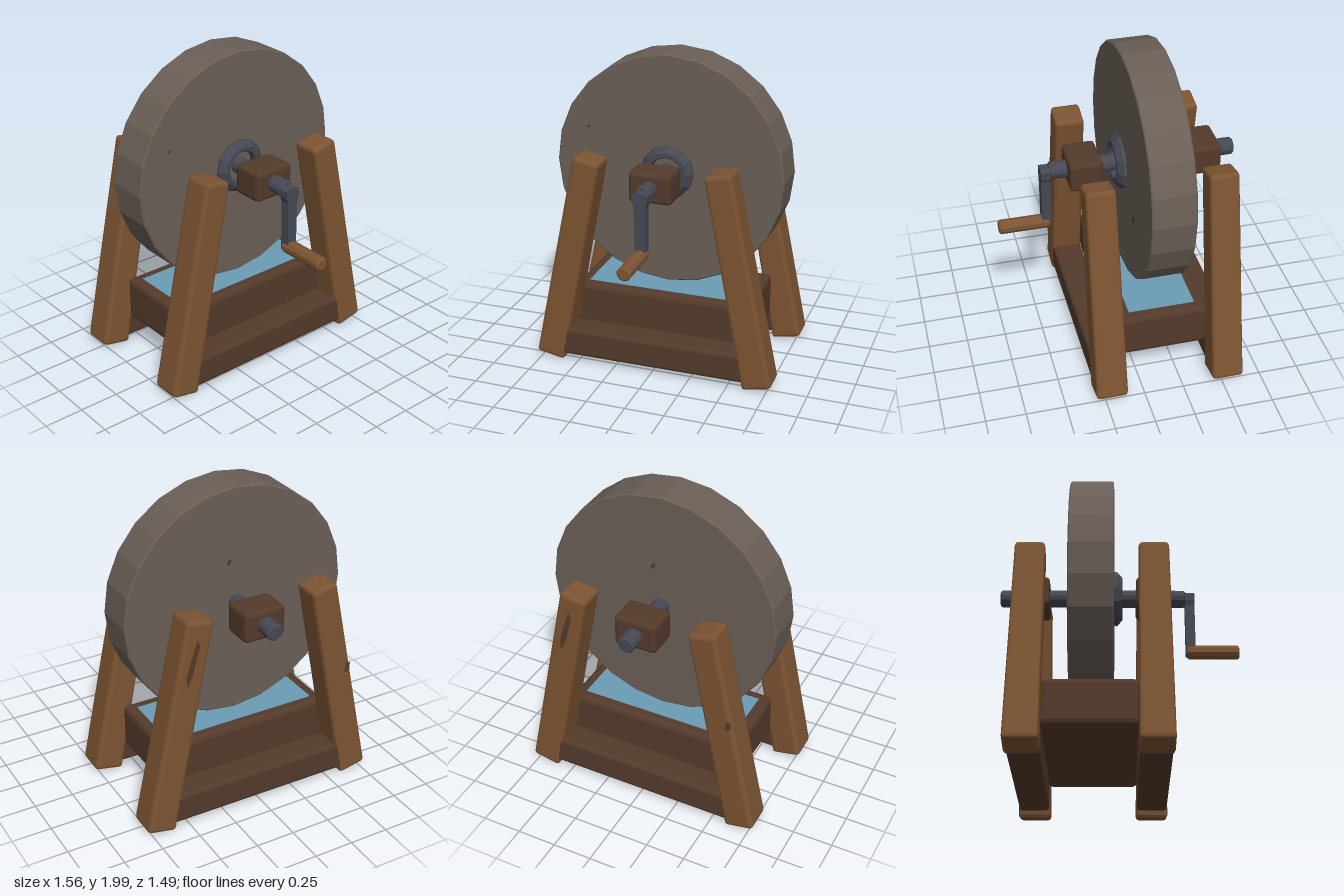
import * as THREE from 'three';
import { RoundedBoxGeometry } from 'three/addons/geometries/RoundedBoxGeometry.js';

const material = (name, color) => {
  const m = new THREE.MeshStandardMaterial({ color });
  m.name = name;
  return m;
};

// Facet a geometry so every face keeps its own normal
function faceted(geometry) {
  const g = geometry.index ? geometry.toNonIndexed() : geometry;
  g.computeVertexNormals();
  return g;
}

export function createModel() {
  const lightWood = material('light wood', 0x7c5432);
  const darkWood = material('dark wood', 0x543a2b);
  const stone = material('stone', 0x6a5f57);
  const iron = material('iron', 0x464853);
  const water = material('water', 0x6b9cb4);

  const model = new THREE.Group();
  model.name = 'grindstone';

  function add(name, geometry, mat, x = 0, y = 0, z = 0) {
    const mesh = new THREE.Mesh(geometry, mat);
    mesh.name = name;
    mesh.position.set(x, y, z);
    model.add(mesh);
    return mesh;
  }
  // Chamfered wooden block
  const block = (w, h, d, r = 0.02) => faceted(new RoundedBoxGeometry(w, h, d, 1, r));

  // Turned part along z from [radius, z] points, with a corner at the top
  function turned(points, sides) {
    const g = new THREE.LatheGeometry(points.map(([r, z]) => new THREE.Vector2(r, z)), sides);
    return faceted(g.rotateX(Math.PI / 2));
  }
  // Solid rod along z with a small chamfer at both ends
  const rod = (r, z0, z1, sides, c = 0.01) =>
    turned([[0, z0], [r - c, z0], [r, z0 + c], [r, z1 - c], [r - c, z1], [0, z1]], sides);

  const axleY = 1.26;
  const frames = [['front', 0.21], ['back', -0.535]];

  // Grinding wheel, axle and hub ring
  add('wheel', rod(0.74, -0.3, -0.03, 24, 0.008), stone, 0, axleY);
  add('axle', rod(0.054, -0.745, 0.42, 12), iron, 0, axleY);
  add('hubRing', turned(
    [[0.1, -0.035], [0.17, -0.035], [0.172, -0.012], [0.135, 0.022], [0.108, 0.022], [0.1, 0.01], [0.1, -0.035]],
    12), iron, 0, axleY);

  // Two A-frames with slanted, slightly tapered legs
  const foot = new THREE.Vector2(0.69, 0.026);
  const head = new THREE.Vector2(0.415, 1.385);
  const length = foot.distanceTo(head);
  const lean = Math.atan2(foot.x - head.x, head.y - foot.y);
  const legGeometry = block(0.19, length, 0.19, 0.022);
  const p = legGeometry.attributes.position;
  for (let i = 0; i < p.count; i++) {
    const k = 1 - 0.09 * (p.getY(i) / length + 0.5);
    p.setX(i, p.getX(i) * k);
    p.setZ(i, p.getZ(i) * (k + 0.05));
  }
  legGeometry.computeVertexNormals();

  for (const [end, z] of frames) {
    for (const side of [-1, 1]) {
      const leg = add(`${end}${side > 0 ? 'Left' : 'Right'}Leg`, legGeometry, lightWood,
        side * (foot.x + head.x) / 2, (foot.y + head.y) / 2, z);
      leg.rotation.z = side * lean;
    }
    // Low rail between the feet, and bearing block around the axle
    const rail = add(`${end}Rail`, block(1.3, 0.185, 0.188), darkWood, -0.04, 0.145, z);
    rail.rotation.z = 0.004;
    add(`${end}BearingBlock`, block(0.27, 0.19, 0.205, 0.022), darkWood, 0, axleY, z);
  }

  // Water trough
  add('trough', block(1.16, 0.28, 0.56, 0.03), darkWood, 0, 0.338, -0.165);
  add('waterSurface', new THREE.BoxGeometry(1.02, 0.006, 0.42), water, 0, 0.478, -0.165);

  // Crank arm, wider at the axle, and its handle
  const arm = new THREE.Shape([
    [-0.032, 0.87], [0.032, 0.87], [0.036, 1.2], [0.048, 1.23], [0.048, 1.275],
    [0.03, 1.29], [-0.03, 1.29], [-0.048, 1.275], [-0.048, 1.23], [-0.036, 1.2],
  ].map(([x, y]) => new THREE.Vector2(x, y)));
  add('crankArm', faceted(new THREE.ExtrudeGeometry(arm, { depth: 0.06, bevelEnabled: false })), iron, 0, 0, 0.415);
  add('crankHandle', rod(0.045, 0.425, 0.745, 10, 0.01), lightWood, 0, 0.89);

  // Small worn patches: x, y, z, width, height, tilt, facing
  const chip = new THREE.ShapeGeometry(new THREE.Shape(
    [[-0.5, -0.3], [-0.1, -0.5], [0.3, -0.2], [0.5, 0.4], [0, 0.5], [-0.3, 0.1]]
      .map(([x, y]) => new THREE.Vector2(x, y))));
  const patches = [
    [0.325, 1.035, -0.028, 0.06, 0.06, 0, 1],
    [-0.165, 0.8, -0.028, 0.03, 0.04, 0, 1],
    [-0.525, 1.5, -0.028, 0.025, 0.025, 0, 1],
    [0.05, 1.53, -0.302, 0.035, 0.04, 0, -1],
    [0.475, 1.13, -0.631, 0.05, 0.3, lean, -1],
    [-0.6, 0.8, -0.632, 0.05, 0.07, -lean, -1],
  ];
  for (const [x, y, z, w, h, tilt, facing] of patches) {
    const patch = add('wornPatch', chip, darkWood, x, y, z);
    patch.scale.set(w, h, 1);
    patch.rotation.set(0, facing > 0 ? 0 : Math.PI, facing * tilt);
  }
  return model;
}
